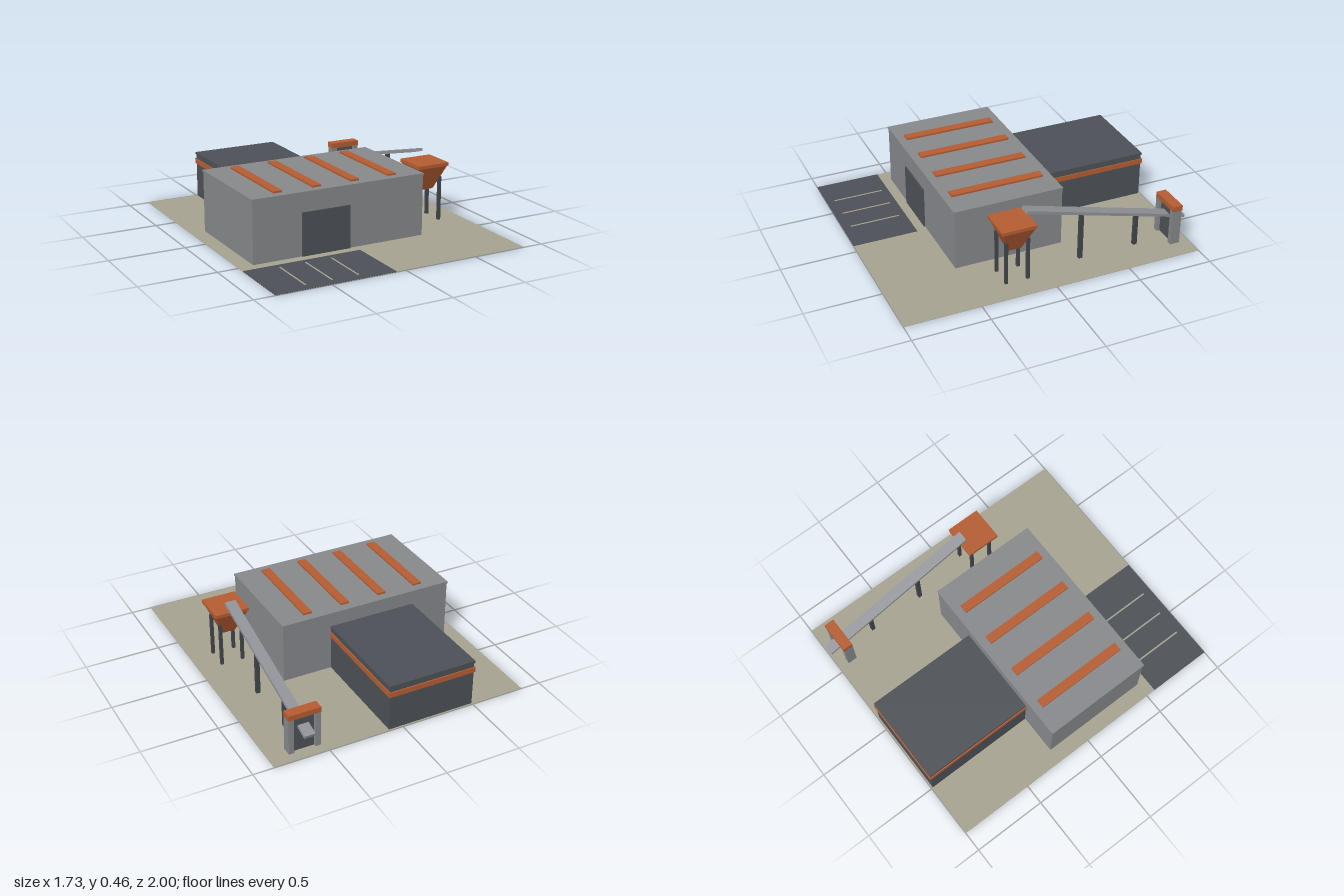
import * as THREE from 'three';

const mat = (name, color) => {
  const m = new THREE.MeshStandardMaterial({ color });
  m.name = name;
  return m;
};

export function createModel() {
  const model = new THREE.Group();
  model.name = 'industrialYard';

  const sand = mat('sand', 0xa6a290);
  const asphalt = mat('asphalt', 0x4d5056);
  const grey = mat('wallGrey', 0x86888b);
  const steel = mat('steel', 0x909297);
  const dark = mat('darkCladding', 0x4d5157);
  const frame = mat('frameSteel', 0x42464b);
  const orange = mat('rustOrange', 0xb55d32);

  const add = (parent, name, geometry, material) => {
    const mesh = new THREE.Mesh(geometry, material);
    mesh.name = name;
    parent.add(mesh);
    return mesh;
  };
  // Box given by its limits on each axis
  const box = (parent, name, material, [x0, x1], [y0, y1], [z0, z1]) => {
    const mesh = add(parent, name, new THREE.BoxGeometry(x1 - x0, y1 - y0, z1 - z0), material);
    mesh.position.set((x0 + x1) / 2, (y0 + y1) / 2, (z0 + z1) / 2);
    return mesh;
  };
  const group = (name) => {
    const g = new THREE.Group();
    g.name = name;
    model.add(g);
    return g;
  };

  // Yard and parking lot with bay lines
  const yard = group('yard');
  box(yard, 'ground', sand, [-0.865, 0.865], [0.001, 0.003], [-1, 1]);
  box(yard, 'parkingLot', asphalt, [-0.865, -0.065], [0, 0.005], [0.565, 1]);
  for (const x of [-0.643, -0.468, -0.293]) {
    box(yard, 'bayLine', sand, [x - 0.005, x + 0.005], [0.004, 0.007], [0.61, 0.945]);
  }

  // Main hall with roof slab, skylight strips and door
  const hall = group('mainHall');
  box(hall, 'hallWalls', grey, [-0.765, 0.43], [0.002, 0.402], [-0.235, 0.497]);
  box(hall, 'hallRoof', grey, [-0.77, 0.434], [0.402, 0.415], [-0.239, 0.501]);
  for (const x of [-0.57, -0.304, -0.036, 0.23]) {
    box(hall, 'skylight', orange, [x - 0.03, x + 0.03], [0.412, 0.427], [-0.18, 0.445]);
  }
  box(hall, 'hallDoor', dark, [-0.435, -0.1], [0.002, 0.285], [0.496, 0.505]);

  // Rear annex with a wrapped band
  const annex = group('rearAnnex');
  box(annex, 'annexWalls', dark, [-0.497, 0.093], [0.002, 0.305], [-0.99, -0.236]);
  box(annex, 'annexBand', orange, [-0.504, 0.1], [0.24, 0.275], [-0.998, -0.232]);
  box(annex, 'annexRoof', dark, [-0.502, 0.098], [0.305, 0.32], [-0.995, -0.24]);

  // Hopper: square rim, tapering bin, four legs
  const hopper = group('hopper');
  const hx = 0.63, hz = 0.2;
  box(hopper, 'hopperRim', orange, [hx - 0.115, hx + 0.115], [0.378, 0.4], [hz - 0.115, hz + 0.115]);
  const taper = new THREE.CylinderGeometry(0.109 * Math.SQRT2, 0.042 * Math.SQRT2, 0.163, 4)
    .rotateY(Math.PI / 4).toNonIndexed();
  taper.computeVertexNormals();
  add(hopper, 'hopperBin', taper, orange).position.set(hx, 0.2965, hz);
  for (const sx of [-1, 1]) for (const sz of [-1, 1]) {
    const x = hx + sx * 0.073, z = hz + sz * 0.073;
    box(hopper, 'hopperLeg', frame, [x - 0.01, x + 0.01], [0.002, 0.3], [z - 0.01, z + 0.01]);
  }

  // Inclined conveyor on two posts
  const conveyor = group('conveyor');
  const run = 1.12, rise = 0.306;
  const belt = add(conveyor, 'conveyorBelt', new THREE.BoxGeometry(0.072, 0.02, Math.hypot(run, rise)), steel);
  belt.position.set(hx, 0.3, -0.44);
  belt.rotation.x = -Math.atan2(rise, run);
  for (const [z, h] of [[-0.27, 0.342], [-0.66, 0.235]]) {
    box(conveyor, 'conveyorPost', frame, [hx - 0.013, hx + 0.013], [0.002, h], [z - 0.013, z + 0.013]);
  }

  // Feed gate around the low end of the conveyor
  const gate = group('feedGate');
  for (const s of [-1, 1]) {
    const x = hx + s * 0.088;
    box(gate, 'gatePost', grey, [x - 0.0175, x + 0.0175], [0.002, 0.246], [-0.932, -0.868]);
  }
  box(gate, 'gatePanel', dark, [hx - 0.072, hx + 0.072], [0.002, 0.246], [-0.912, -0.888]);
  box(gate, 'gateLintel', orange, [hx - 0.107, hx + 0.107], [0.245, 0.281], [-0.937, -0.868]);

  return model;
}
